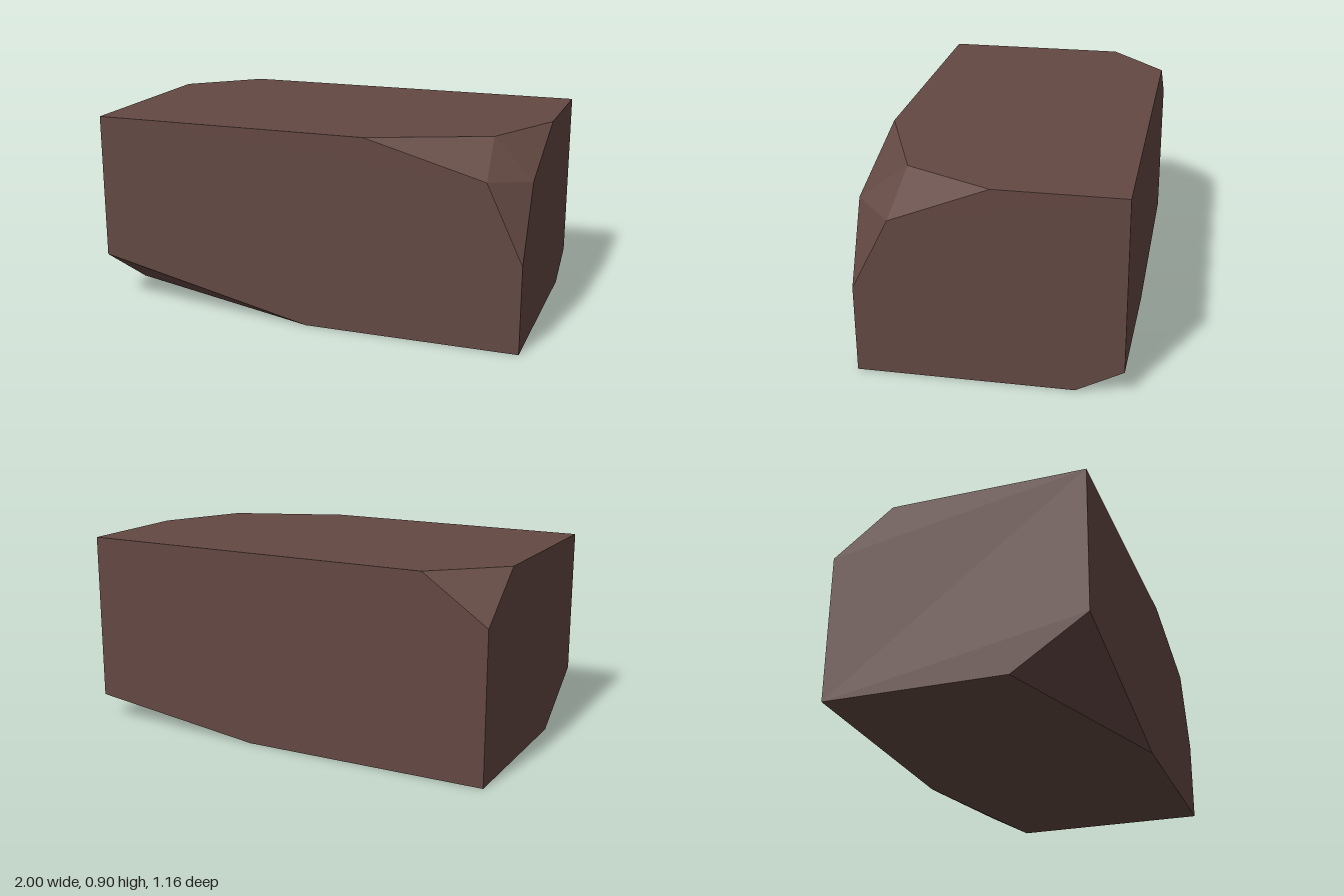
import * as THREE from 'three';
import { ConvexGeometry } from 'three/addons/geometries/ConvexGeometry.js';

const X = 1, Y = 0.9, Z = 0.582; // block: half width, height, half depth

// Three points left on the edges where a single cut removes a corner
function cutCorner(sx, top, sz, dx, dy, dz) {
  const x = sx * X, y = top ? Y : 0, z = sz * Z;
  return [
    [x - sx * dx, y, z],
    [x, top ? y - dy : dy, z],
    [x, y, z - sz * dz],
  ];
}

export function createModel() {
  const group = new THREE.Group();
  group.name = 'chippedBlock';

  const brown = new THREE.MeshStandardMaterial({ color: 0x634842 });
  brown.name = 'brown';
  brown.flatShading = true;

  const points = [
    // untouched corners
    [X, 0, Z], [-X, Y, Z], [X, Y, -Z], [-X, 0, -Z],
    // large faceted chip at the upper front corner: edge points, then face points
    ...cutCorner(1, true, 1, 0.71, 0.5, 0.6),
    [0.835, 0.75, Z], [X, 0.727, 0.415], [0.815, Y, 0.37],
    // plain single-cut corners
    ...cutCorner(-1, false, 1, 1.02, 0.225, 0.335),
    ...cutCorner(1, false, -1, 0.85, 0.11, 0.208),
    ...cutCorner(-1, true, -1, 0.3, 0.21, 0.275),
  ].map((p) => new THREE.Vector3(...p));

  const block = new THREE.Mesh(new ConvexGeometry(points), brown);
  block.name = 'block';
  group.add(block);
  return group;
}
